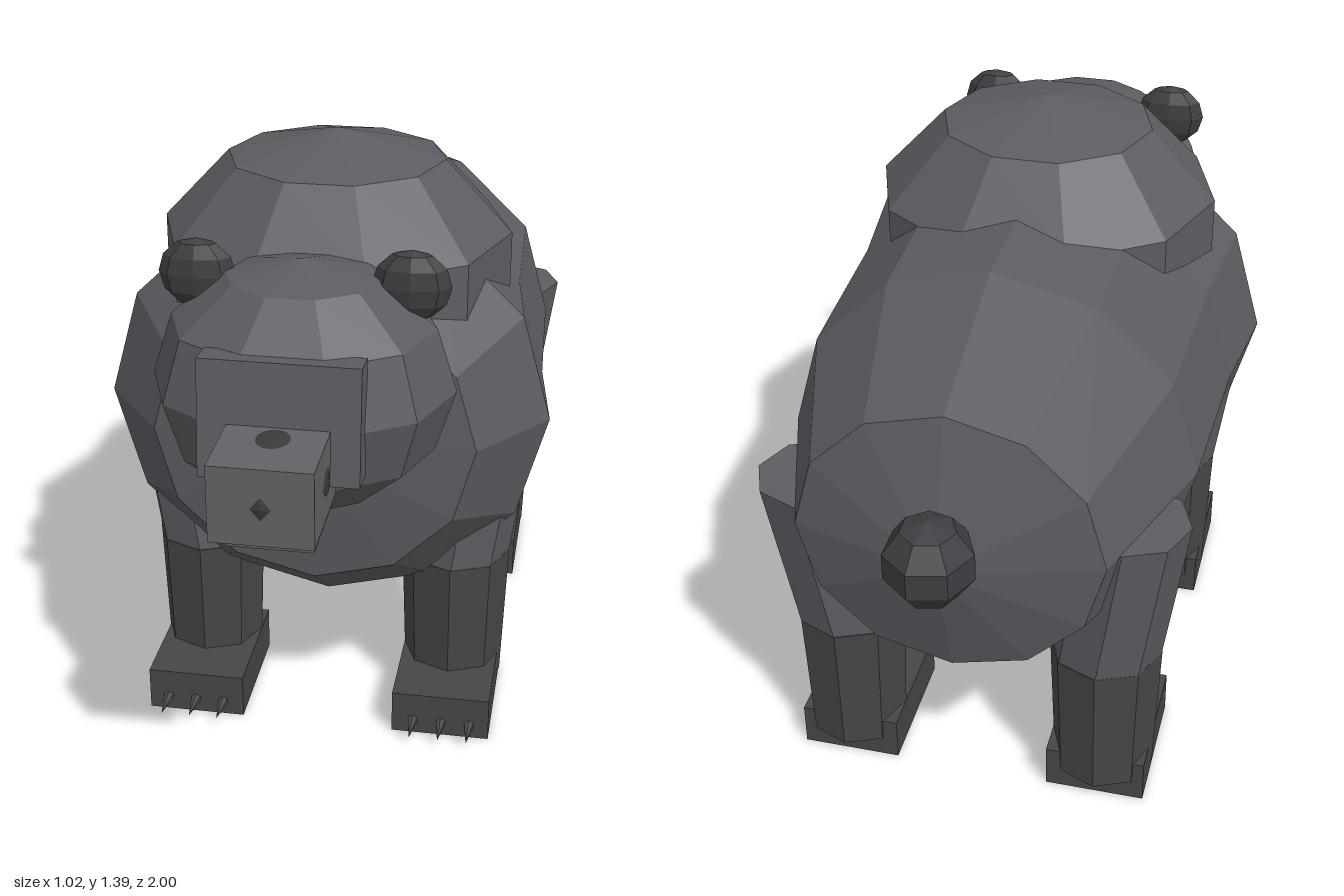
import * as THREE from 'three';

const paint = (name, color) => {
  const m = new THREE.MeshStandardMaterial({ color, flatShading: true });
  m.name = name;
  return m;
};

export function createModel() {
  const bear = new THREE.Group();
  bear.name = 'bear';
  const fur = paint('grey fur', 0x5c5d62);
  const darkFur = paint('dark leg fur', 0x464649);
  const earFur = paint('ear and tail fur', 0x3e3e42);
  const muzzleFur = paint('muzzle fur', 0x636367);
  const noseBlack = paint('nose', 0x3a3a3d);
  const clawGrey = paint('claw', 0x4c4c50);

  const add = (name, geometry, material, x = 0, y = 0, z = 0) => {
    const mesh = new THREE.Mesh(geometry, material);
    mesh.name = name;
    mesh.position.set(x, y, z);
    bear.add(mesh);
    return mesh;
  };
  const ball = (rx, ry, rz, w, h) => new THREE.SphereGeometry(1, w, h).scale(rx, ry, rz);

  // Barrel body: 12-sided rings running from rump to chest
  const rings = [[0, -0.865], [0.335, -0.77], [0.462, -0.4], [0.477, 0], [0.51, 0.26], [0.362, 0.45], [0, 0.5]];
  const body = new THREE.LatheGeometry(rings.map(([r, z]) => new THREE.Vector2(r, z)), 12);
  body.rotateX(Math.PI / 2).scale(1, 0.965, 1);
  add('body', body, fur, 0, 0.77, 0);

  // Shoulder hump, neck and head
  add('shoulderHump', ball(0.42, 0.326, 0.395, 10, 5), fur, 0, 1.064, 0.13);
  add('neck', ball(0.24, 0.25, 0.2, 10, 6), fur, 0, 0.92, 0.42);
  add('head', ball(0.325, 0.275, 0.28, 10, 6), fur, 0, 0.96, 0.55);

  // Face
  add('facePlate', new THREE.BoxGeometry(0.33, 0.25, 0.07), fur, 0, 0.985, 0.785).rotation.x = -0.1;
  add('snout', new THREE.BoxGeometry(0.21, 0.165, 0.27), muzzleFur, 0, 0.8975, 0.865);
  add('lowerJaw', new THREE.BoxGeometry(0.18, 0.06, 0.2), fur, 0, 0.795, 0.825);
  add('nose', ball(0.112, 0.09, 0.135, 16, 12), noseBlack, 0, 0.895, 0.87);

  // Tail
  add('tail', ball(0.1, 0.098, 0.1, 7, 5), earFur, 0, 0.835, -0.9);

  // Thigh: eight-sided column sheared from the hip to the knee
  const thighGeometry = (dx, dz) => {
    const g = new THREE.CylinderGeometry(0.127, 0.127, 0.39, 8);
    const p = g.attributes.position;
    for (let i = 0; i < p.count; i++) {
      const t = p.getY(i) / 0.39 + 0.5;
      p.setX(i, p.getX(i) + dx * t);
      p.setZ(i, p.getZ(i) + dz * t);
    }
    g.computeVertexNormals();
    return g;
  };

  for (const side of [1, -1]) {
    const label = side > 0 ? 'left' : 'right';
    add(label + 'Ear', ball(0.083, 0.077, 0.039, 8, 6), earFur, side * 0.225, 1.185, 0.537);

    for (const [end, z, lean] of [['Front', 0.2, 0], ['Rear', -0.565, -0.03]]) {
      const name = label + end;
      const x = side * 0.3;
      add(name + 'Thigh', thighGeometry(side * 0.056, lean), fur, x, 0.575, z);
      add(name + 'LowerLeg', new THREE.CylinderGeometry(0.129, 0.117, 0.34, 8), darkFur, x, 0.22, z);
      add(name + 'Foot', new THREE.BoxGeometry(0.23, 0.105, 0.31), darkFur, side * 0.296, 0.0525, z + 0.075);
      // Three claws on each foot
      for (const offset of [-0.067, 0, 0.067]) {
        const claw = new THREE.ConeGeometry(0.014, 0.08, 6).rotateX(Math.PI / 2);
        add(name + 'Claw', claw, clawGrey, side * 0.298 + offset, 0.035, z + 0.262);
      }
    }
  }
  return bear;
}
